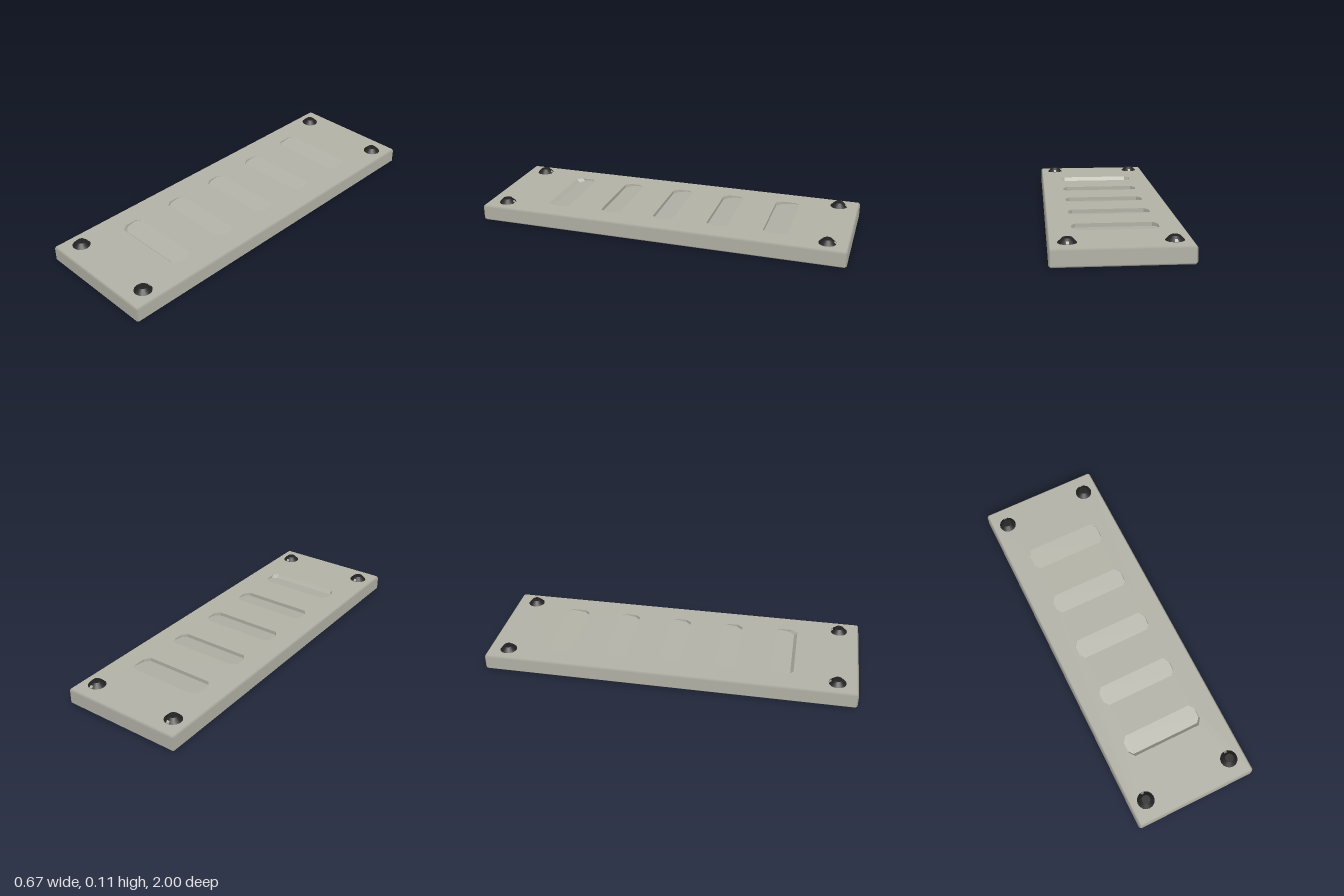
import * as THREE from 'three';

const HX = 0.333, HZ = 1, TOP = 0.088, R = 0.01;

// Flat or smooth geometry from a plain list of triangle corners
function fromTriangles(points, normals) {
  const g = new THREE.BufferGeometry();
  g.setAttribute('position', new THREE.Float32BufferAttribute(points.flatMap(p => p.toArray()), 3));
  if (normals) g.setAttribute('normal', new THREE.Float32BufferAttribute(normals.flatMap(n => n.toArray()), 3));
  else g.computeVertexNormals();
  return g;
}

// Outline of one louvre, counter-clockwise seen from above, as [x, z]
function louvreOutline(z0, z1) {
  const c = 0.03;
  return [[-0.19, z0], [-0.212, z0 + c], [-0.212, z1 - c], [-0.19, z1],
    [0.19, z1], [0.212, z1 - c], [0.212, z0 + c], [0.19, z0]];
}

// Sides and underside: stacked rings whose normals turn smoothly over the small bevels
function shellGeometry() {
  const corners = [
    [-HX + R, -HZ, 0, -1], [-HX, -HZ + R, -1, 0], [-HX, HZ - R, -1, 0], [-HX + R, HZ, 0, 1],
    [HX - R, HZ, 0, 1], [HX, HZ - R, 1, 0], [HX, -HZ + R, 1, 0], [HX - R, -HZ, 0, -1],
  ];
  const rings = [[0, R, -1], [R, 0, 0], [TOP - R, 0, 0], [TOP, R, 1]].map(([y, inset, ny]) =>
    corners.map(([x, z, nx, nz]) => ({
      p: new THREE.Vector3(x - nx * inset, y, z - nz * inset),
      n: ny ? new THREE.Vector3(0, ny, 0) : new THREE.Vector3(nx, 0, nz),
    })));
  const v = [];
  for (let k = 0; k < 3; k++) {
    for (let i = 0; i < 8; i++) {
      const j = (i + 1) % 8, lo = rings[k], hi = rings[k + 1];
      v.push(lo[i], lo[j], hi[j], lo[i], hi[j], hi[i]);
    }
  }
  const [a, b, c, d] = [0, 2, 4, 6].map(i => rings[0][i]);
  v.push(a, c, b, a, d, c);
  return fromTriangles(v.map(e => e.p), v.map(e => e.n));
}

// Recess: a floor sloping down toward the front, ending in a low wall
function louvreGeometry(z0, z1, lean) {
  const depth = 0.02;
  const rim = louvreOutline(z0, z1).map(([x, z]) => new THREE.Vector3(x, TOP, z));
  const floor = rim.map(p => {
    const t = (p.z - z0) / (z1 - z0);
    return new THREE.Vector3(p.x, TOP - depth * t, p.z - lean * t);
  });
  const v = [];
  for (let i = 0; i < 8; i++) {
    const j = (i + 1) % 8;
    v.push(rim[i], rim[j], floor[j], rim[i], floor[j], floor[i]);
    if (i > 0 && i < 7) v.push(floor[0], floor[i], floor[i + 1]);
  }
  return fromTriangles(v);
}

export function createModel() {
  const group = new THREE.Group();
  const panelGrey = new THREE.MeshStandardMaterial({ color: 0xb2b1a6, side: THREE.DoubleSide });
  panelGrey.name = 'panelGrey';
  const boltBlack = new THREE.MeshStandardMaterial({ color: 0x222222 });
  boltBlack.name = 'boltBlack';
  const add = (geometry, material, name, parent = group) => {
    const mesh = new THREE.Mesh(geometry, material);
    mesh.name = name;
    parent.add(mesh);
    return mesh;
  };

  add(shellGeometry(), panelGrey, 'panelBody');

  // Top face with an opening for each louvre
  const louvres = [[-0.68, -0.55, 0], [-0.36, -0.247, 0], [-0.06, 0.052, 0], [0.24, 0.35, 0], [0.54, 0.66, 0.017]];
  const x = HX - R, z = HZ - R;
  const face = new THREE.Shape([[-x, -z], [x, -z], [x, z], [-x, z]].map(p => new THREE.Vector2(...p)));
  louvres.forEach(([z0, z1, lean], i) => {
    face.holes.push(new THREE.Path(louvreOutline(z0, z1).map(p => new THREE.Vector2(p[0], -p[1]))));
    add(louvreGeometry(z0, z1, lean), panelGrey, `louvre${i + 1}`);
  });
  add(new THREE.ShapeGeometry(face).rotateX(-Math.PI / 2).translate(0, TOP, 0), panelGrey, 'topFace');

  // Domed corner bolts, each with a small pale notch at the back
  for (const sx of [-1, 1]) {
    for (const sz of [-1, 1]) {
      const bolt = new THREE.Group();
      bolt.name = `${sz > 0 ? 'front' : 'back'}${sx > 0 ? 'Left' : 'Right'}Bolt`;
      bolt.position.set(sx * 0.245, TOP, sz * 0.89);
      group.add(bolt);
      add(new THREE.CylinderGeometry(0.023, 0.046, 0.023, 16).translate(0, 0.0115, 0), boltBlack, 'boltHead', bolt);
      const notch = add(new THREE.BoxGeometry(0.015, 0.003, 0.015), panelGrey, 'boltNotch', bolt);
      notch.position.set(0, 0.006, -0.039);
      notch.rotation.x = -Math.PI / 4;
    }
  }
  return group;
}
